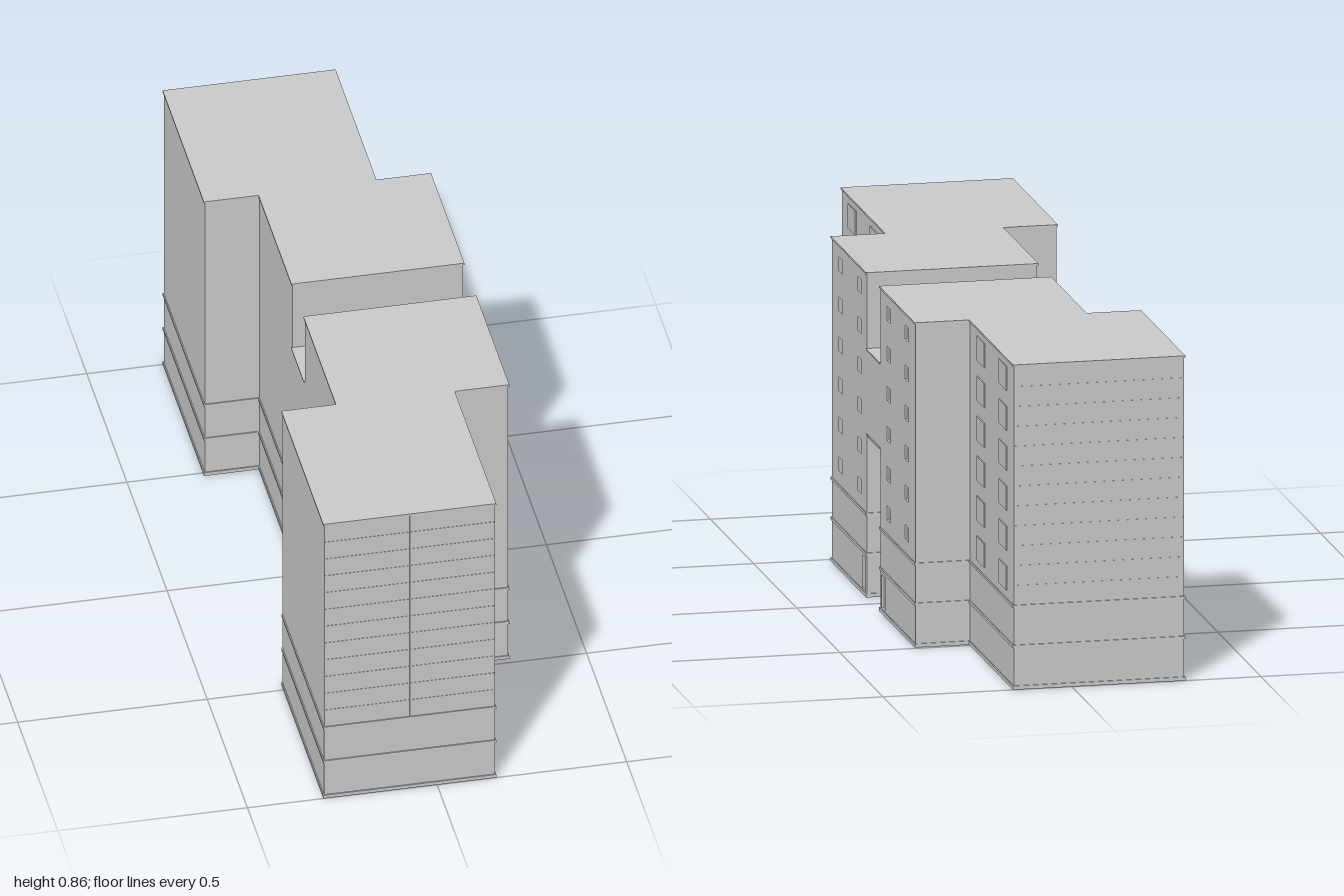
import * as THREE from 'three';

const HEIGHT = 0.862;
const TRIM = 0.003;        // how far bands stand out from the walls
const REVEAL = 0.006;      // depth of the recessed windows and doors
const FLOORS = 6, FLOOR_PITCH = 0.106, FIRST_SILL = 0.245;
const OUTER_X = 0.297, INNER_X = 0.153;

// Two stepped blocks: side (+1 front, -1 rear) and distances along z
const BLOCKS = [
  { name: 'front', side: 1, gap: 0.075, step: 0.48, end: 0.997,
    small: [[0.14, 0.18], [0.36, 0.4]] },
  { name: 'rear', side: -1, gap: 0.08, step: 0.489, end: 0.997,
    small: [[0.155, 0.195], [0.365, 0.405]] },
];

export function createModel() {
  const model = new THREE.Group();
  model.name = 'apartmentBuilding';
  const material = new THREE.MeshStandardMaterial({ color: 0xcccccc, flatShading: true });

  const add = (parent, geometry, name) => {
    const mesh = new THREE.Mesh(geometry, material);
    mesh.name = name;
    parent.add(mesh);
    return mesh;
  };

  // Box given by its limits on each axis
  const addBox = (parent, name, [x0, x1], [y0, y1], [z0, z1]) => {
    const mesh = add(parent, new THREE.BoxGeometry(x1 - x0, y1 - y0, Math.abs(z1 - z0)), name);
    mesh.position.set((x0 + x1) / 2, (y0 + y1) / 2, (z0 + z1) / 2);
  };

  // Stepped footprint, grown outwards by o, with the wing wall set in by inset
  const footprint = ({ side, gap, step, end }, o, inset = 0) => {
    const points = [
      [-INNER_X - o, gap - o], [OUTER_X + o - inset, gap - o],
      [OUTER_X + o - inset, step + o], [INNER_X + o, step + o],
      [INNER_X + o, end + o], [-OUTER_X - o, end + o],
      [-OUTER_X - o, step - o], [-INNER_X - o, step - o],
    ];
    return new THREE.Shape(points.map(([x, z]) => new THREE.Vector2(x, -z * side)));
  };

  const addSlab = (parent, name, shape, y0, y1) => {
    const geometry = new THREE.ExtrudeGeometry(shape, { depth: y1 - y0, bevelEnabled: false });
    geometry.rotateX(-Math.PI / 2).translate(0, y0, 0);
    add(parent, geometry, name);
  };

  const rectangle = (Type, a, b, y0, y1) => new Type([
    new THREE.Vector2(a, y0), new THREE.Vector2(b, y0),
    new THREE.Vector2(b, y1), new THREE.Vector2(a, y1),
  ]);

  for (const block of BLOCKS) {
    const { name, side, gap, step, end } = block;
    const group = new THREE.Group();
    group.name = `${name}Block`;
    model.add(group);

    // Main walls, plinth, storey bands and roof edge
    addSlab(group, 'walls', footprint(block, 0, REVEAL), 0.004, HEIGHT - 0.002);
    addSlab(group, 'plinth', footprint(block, TRIM), 0, 0.01);
    addSlab(group, 'lowerBand', footprint(block, TRIM), 0.11, 0.118);
    addSlab(group, 'upperBand', footprint(block, TRIM), 0.217, 0.224);
    addSlab(group, 'roof', footprint(block, TRIM), HEIGHT - 0.005, HEIGHT);

    // Wing facade pierced by small windows and a door beside the passage
    const facade = rectangle(THREE.Shape, -gap * side, -step * side, 0.006, HEIGHT - 0.003);
    const pierce = (a, b, y0, y1) =>
      facade.holes.push(rectangle(THREE.Path, -a * side, -b * side, y0, y1));
    pierce(gap + 0.015, gap + 0.053, 0.012, 0.1);
    for (let floor = 0; floor < FLOORS; floor++) {
      const y = FIRST_SILL + floor * FLOOR_PITCH;
      for (const [a, b] of block.small) pierce(a, b, y + 0.015, y + 0.052);

      // Large windows on the end part
      for (const z of [0.575, 0.83]) {
        addBox(group, 'largeWindow', [INNER_X - 0.005, INNER_X + TRIM], [y, y + 0.064],
          [z * side, (z + 0.088) * side]);
      }
    }
    const wall = new THREE.ExtrudeGeometry(facade, { depth: REVEAL, bevelEnabled: false });
    wall.rotateY(Math.PI / 2).translate(OUTER_X - REVEAL, 0, 0);
    add(group, wall, 'wingFacade');

    // Cladding panels on the end wall, two columns with fine joints
    const rows = 12, pitch = (HEIGHT - 0.005 - 0.224) / rows;
    for (let row = 0; row < rows; row++) {
      const y = 0.224 + row * pitch;
      for (const [x0, x1] of [[-OUTER_X, -0.0725], [-0.0715, INNER_X]]) {
        addBox(group, 'claddingPanel', [x0, x1], [y + 0.0005, y + pitch - 0.0005],
          [(end - 0.004) * side, (end + 0.001) * side]);
      }
    }
  }

  // Bridge across the passage, with thin edges top and bottom
  const span = [-BLOCKS[1].gap, BLOCKS[0].gap];
  addBox(model, 'bridge', [-INNER_X, OUTER_X], [0.432, 0.658], span);
  for (const y of [0.43, 0.656]) {
    addBox(model, 'bridgeEdge', [-INNER_X - TRIM, OUTER_X + TRIM], [y, y + 0.004], span);
  }

  return model;
}
